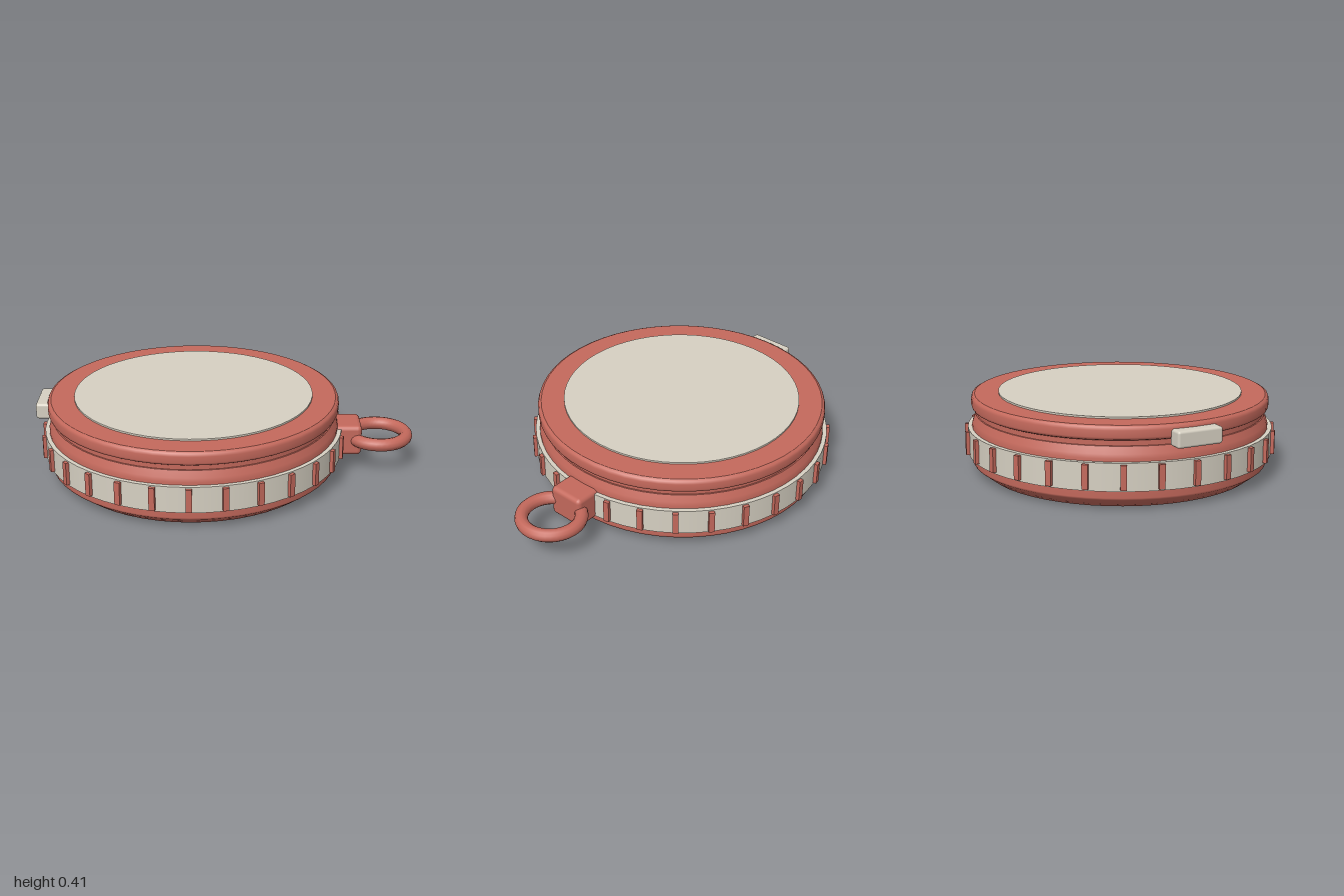
import * as THREE from 'three';
import { RoundedBoxGeometry } from 'three/addons/geometries/RoundedBoxGeometry.js';

const CX = -0.175; // axis of the round case
const SIDES = 56;
const RIBS = 28;

export function createModel() {
  const red = new THREE.MeshStandardMaterial({ color: 0xc4695c });
  red.name = 'terracotta red';
  const beige = new THREE.MeshStandardMaterial({ color: 0xd6d0c2 });
  beige.name = 'warm beige';

  const model = new THREE.Group();
  model.name = 'roundCompactCase';
  const add = (name, geometry, material, x, y, z, parent = model) => {
    const mesh = new THREE.Mesh(geometry, material);
    mesh.name = name;
    mesh.position.set(x, y, z);
    parent.add(mesh);
    return mesh;
  };
  // Profile points run outward along the bottom, up the side, then inward
  const lathe = (name, points, material) => add(name,
    new THREE.LatheGeometry(points.map(([r, y]) => new THREE.Vector2(r, y)), SIDES),
    material, CX, 0, 0);

  // Lower shell with a softly shaded base
  lathe('baseShell', [[0, 0], [0.7, 0], [0.765, 0.05], [0.768, 0.06], [0.768, 0.11]], red);

  // Upper shell, tapering to the neck below the lid
  lathe('upperShell', [[0.768, 0.22], [0.768, 0.25], [0.762, 0.27], [0.748, 0.305]], red);
  lathe('neckLedge', [[0.748, 0.305], [0.735, 0.307]], red);
  lathe('neck', [[0.742, 0.3], [0.742, 0.345]], red);

  // Lid: underside, rounded rim and flat top
  lathe('lidUnderside', [[0.7, 0.335], [0.758, 0.335]], red);
  lathe('lidRim', [[0.755, 0.335], [0.766, 0.341], [0.77, 0.352], [0.77, 0.385],
    [0.765, 0.399], [0.752, 0.406]], red);
  lathe('lidTop', [[0.752, 0.406], [0, 0.406]], red);
  add('lidInlay', new THREE.CylinderGeometry(0.63, 0.63, 0.009, SIDES), beige, CX, 0.4105, 0);

  // Grip band with evenly spaced ribs
  add('gripBand', new THREE.CylinderGeometry(0.79, 0.79, 0.137, SIDES), beige, CX, 0.1675, 0);
  const ribs = new THREE.Group();
  ribs.name = 'gripRibs';
  ribs.position.x = CX;
  model.add(ribs);
  const ribGeometry = new THREE.BoxGeometry(0.03, 0.12, 0.034);
  for (let i = 0; i < RIBS; i++) {
    const a = (i / RIBS) * Math.PI * 2;
    const rib = add('gripRib', ribGeometry, red, Math.sin(a) * 0.791, 0.169, Math.cos(a) * 0.791, ribs);
    rib.rotation.y = a;
  }

  // Ring mount and carrying ring
  add('ringMount', new RoundedBoxGeometry(0.15, 0.166, 0.2, 2, 0.024), red, 0.645, 0.168, 0);
  const ring = add('carryRing', new THREE.TorusGeometry(0.15, 0.034, 12, 40), red, 0.815, 0.17, 0);
  ring.rotation.x = Math.PI / 2;

  // Opening clasp on the lid, opposite the ring
  add('clasp', new RoundedBoxGeometry(0.08, 0.083, 0.24, 2, 0.013), beige, -0.96, 0.343, 0);

  return model;
}
